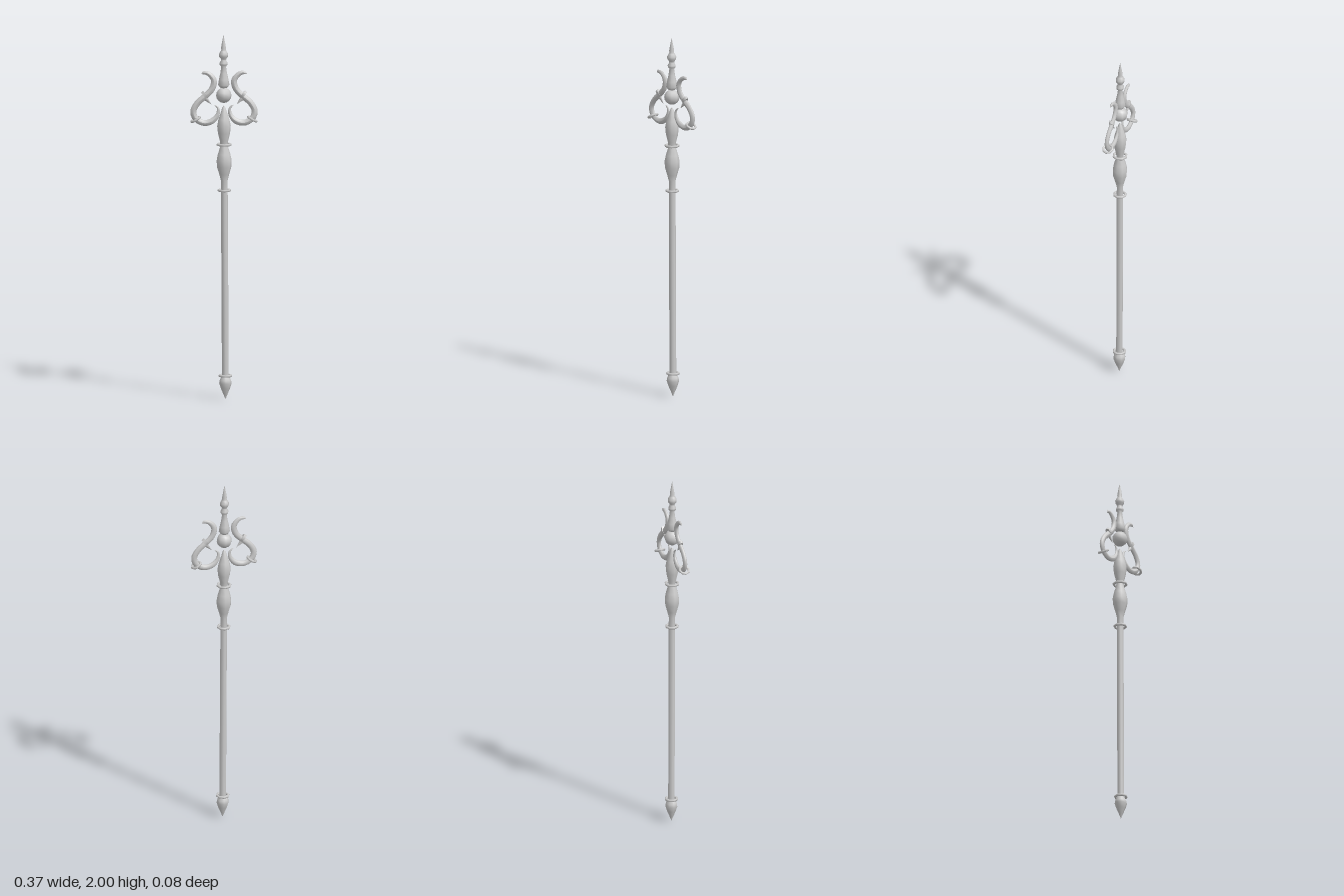
import * as THREE from 'three';

const SIDES = 8;
const mat = new THREE.MeshStandardMaterial({ color: 0xcccccc, side: THREE.DoubleSide });

function add(parent, name, geometry, x = 0, y = 0, z = 0) {
  const mesh = new THREE.Mesh(geometry, mat);
  mesh.name = name;
  mesh.position.set(x, y, z);
  parent.add(mesh);
  return mesh;
}

// Turned part from [radius, height] pairs
const turned = (pairs) =>
  new THREE.LatheGeometry(pairs.map(([r, y]) => new THREE.Vector2(r, y)), SIDES);

// Tube with a radius that varies along its length, flattened front to back
function taperedTube(curve, steps, radiusAt, flatten) {
  const geo = new THREE.TubeGeometry(curve, steps, 1, SIDES, false);
  const pos = geo.attributes.position;
  const v = new THREE.Vector3();
  for (let i = 0; i < pos.count; i++) {
    const u = Math.floor(i / (SIDES + 1)) / steps;
    const c = curve.getPointAt(u);
    v.fromBufferAttribute(pos, i).sub(c).multiplyScalar(radiusAt(u));
    v.z *= flatten;
    v.add(c);
    pos.setXYZ(i, v.x, v.y, v.z);
  }
  geo.computeVertexNormals();
  return geo;
}

// Scrolled side prong; s = 1 for left, -1 for right
function makeProng(s) {
  const prong = new THREE.Group();
  prong.name = s > 0 ? 'leftProng' : 'rightProng';
  const path = [
    [0.124, 1.785], [0.104, 1.793], [0.079, 1.783], [0.055, 1.75], [0.064, 1.705],
    [0.1, 1.665], [0.143, 1.627], [0.166, 1.583], [0.155, 1.543], [0.111, 1.517],
    [0.063, 1.528], [0.034, 1.563], [0.033, 1.6], [0.054, 1.616],
  ].map(([x, y]) => new THREE.Vector3(s * x, y, 0));
  const curve = new THREE.CatmullRomCurve3(path);
  const radius = (u) => {
    if (u === 0 || u === 1) return 0;
    const head = Math.min(1, 0.5 + u * 3);
    const tail = Math.min(1, 0.2 + (1 - u) * 4);
    return 0.0165 * Math.min(head, tail);
  };
  add(prong, 'scroll', taperedTube(curve, 40, radius, 0.66));

  // Tilted ring around the lower bend
  const ring = add(prong, 'scrollRing', new THREE.TorusGeometry(0.026, 0.007, 6, SIDES), s * 0.154, 1.536, 0);
  ring.rotation.set(Math.PI / 2, s * 0.5, 0, 'ZXY');
  ring.rotation.set(Math.PI / 2, 0, 0);
  ring.rotateOnWorldAxis(new THREE.Vector3(0, 0, 1), -s * 0.5);

  // Collar and barb on the inner side of the scroll
  const collar = add(prong, 'collar', new THREE.CylinderGeometry(0.022, 0.022, 0.016, SIDES), s * 0.105, 1.672, 0);
  collar.scale.z = 0.64;
  collar.rotation.z = s * 0.85;
  const barb = add(prong, 'barb', new THREE.ConeGeometry(0.016, 0.06, SIDES), s * 0.088, 1.639, 0);
  barb.scale.z = 0.6;
  barb.rotation.z = s * (Math.PI - 0.75);
  return prong;
}

export function createModel() {
  const model = new THREE.Group();
  model.name = 'sceptre';

  // Staff and finial lean very slightly sideways
  const staff = new THREE.Group();
  staff.name = 'staff';
  staff.position.x = 0.008;
  staff.rotation.z = 0.0055;
  model.add(staff);

  add(staff, 'footSpike', turned([
    [0, 0], [0.012, 0.03], [0.025, 0.06], [0.034, 0.088], [0.031, 0.105], [0.022, 0.125], [0.018, 0.13],
  ]));
  add(staff, 'shaft', turned([[0.0185, 0.12], [0.0185, 1.15]]));
  add(staff, 'grip', turned([
    [0.018, 1.14], [0.018, 1.2], [0.027, 1.235], [0.039, 1.275], [0.041, 1.31],
    [0.034, 1.345], [0.023, 1.38], [0.02, 1.4],
  ]));
  add(staff, 'upperSocket', turned([
    [0.02, 1.395], [0.023, 1.42], [0.033, 1.46], [0.037, 1.5], [0.03, 1.535],
    [0.018, 1.57], [0.009, 1.6], [0, 1.612],
  ]));

  // Collar rings along the staff
  for (const [y, r] of [[0.13, 0.031], [1.147, 0.031], [1.398, 0.035]]) {
    add(staff, 'staffRing', new THREE.TorusGeometry(r, 0.007, 6, SIDES), 0, y, 0).rotation.x = Math.PI / 2;
  }

  add(staff, 'orb', new THREE.SphereGeometry(0.042, SIDES, 8), 0, 1.668, 0);

  add(staff, 'finial', turned([
    [0, 1.705], [0.02, 1.71], [0.031, 1.725], [0.026, 1.755], [0.018, 1.79], [0.013, 1.825],
    [0.021, 1.835], [0.022, 1.845], [0.014, 1.86], [0.015, 1.868], [0.024, 1.88], [0.025, 1.894],
    [0.017, 1.909], [0.012, 1.917], [0.014, 1.925], [0.008, 1.96], [0, 2],
  ]));

  model.add(makeProng(1), makeProng(-1));
  return model;
}
